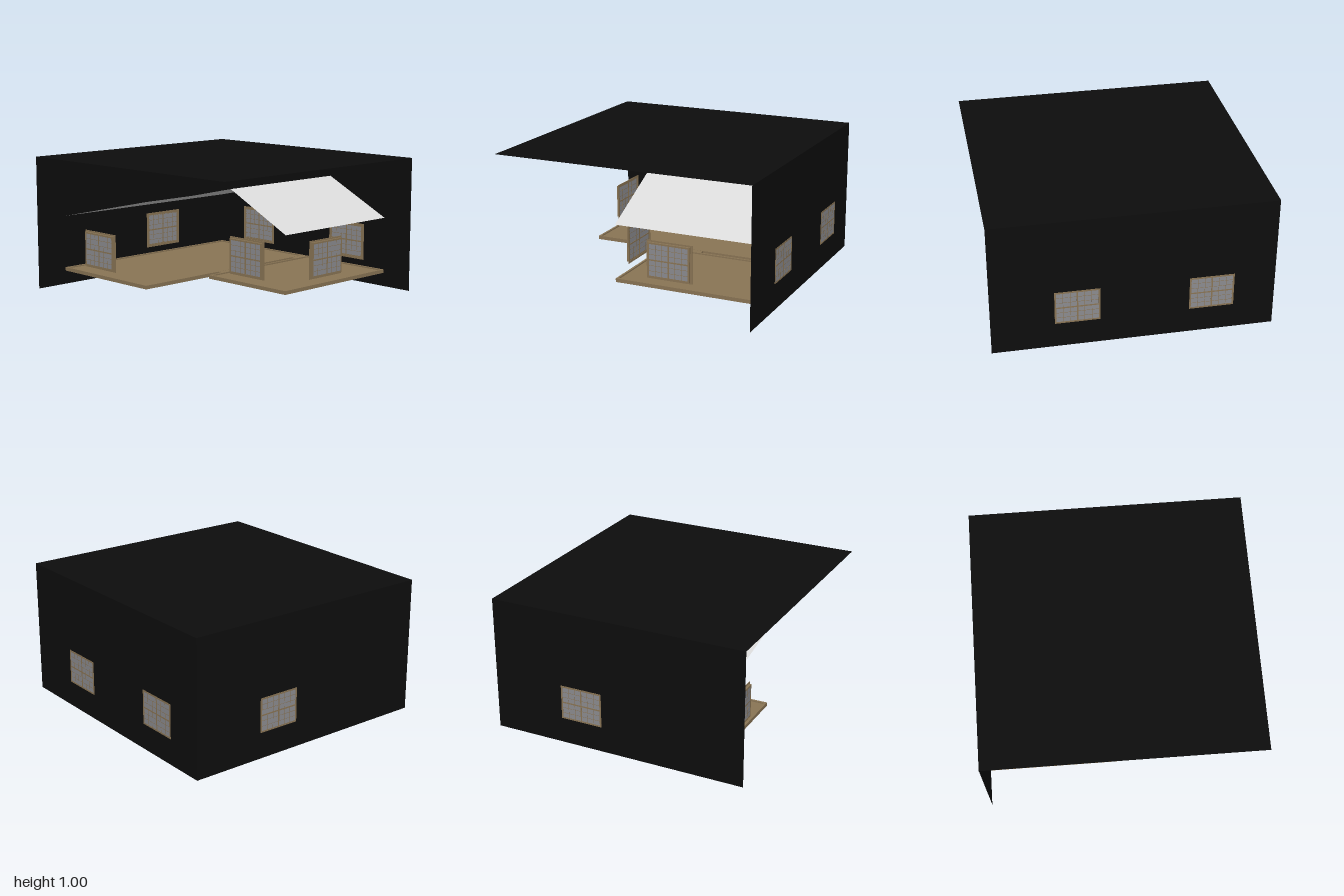
import * as THREE from 'three';

const shellBlack = new THREE.MeshStandardMaterial({ color: 0x0d0d0d, side: THREE.DoubleSide });
shellBlack.name = 'shell black';
const roofWhite = new THREE.MeshStandardMaterial({ color: 0xdadada, side: THREE.DoubleSide });
roofWhite.name = 'roof white';
const wood = new THREE.MeshStandardMaterial({ color: 0x8a7555 });
wood.name = 'wood';
const glassGrey = new THREE.MeshStandardMaterial({ color: 0x8c8c90 });
glassGrey.name = 'glass grey';

// Box given by its limits on each axis
function box(parent, name, mat, [x0, x1], [y0, y1], [z0, z1]) {
  const m = new THREE.Mesh(new THREE.BoxGeometry(x1 - x0, y1 - y0, z1 - z0), mat);
  m.position.set((x0 + x1) / 2, (y0 + y1) / 2, (z0 + z1) / 2);
  m.name = name;
  parent.add(m);
  return m;
}

// Flat four-cornered panel, corners counter-clockwise
function panel(parent, name, mat, a, b, c, d) {
  const g = new THREE.BufferGeometry();
  g.setAttribute('position', new THREE.Float32BufferAttribute([...a, ...b, ...c, ...a, ...c, ...d], 3));
  g.computeVertexNormals();
  const m = new THREE.Mesh(g, mat);
  m.name = name;
  parent.add(m);
}

// Four bars around a rectangle w by h
function frame(parent, name, w, h, t, z) {
  for (const s of [-1, 1]) {
    const x = s * (w - t) / 2, y = s * (h - t) / 2;
    box(parent, name, wood, [x - t / 2, x + t / 2], [-h / 2, h / 2], z);
    box(parent, name, wood, [-w / 2 + t, w / 2 - t], [y - t / 2, y + t / 2], z);
  }
}

// Window facing local +z, its inner face at z = 0
function makeWindow(name, x, z, turn) {
  const g = new THREE.Group();
  g.name = name;
  frame(g, 'windowTrim', 0.345, 0.278, 0.016, [-0.001, 0.004]);
  frame(g, 'windowSash', 0.318, 0.254, 0.012, [0.002, 0.02]);
  box(g, 'glass', glassGrey, [-0.15, 0.15], [-0.12, 0.12], [0.002, 0.0188]);
  // centre bars are thick, the others thin
  for (let i = -2; i <= 2; i++) {
    const t = i ? 0.0015 : 0.005;
    const depth = i ? [0.001, 0.0195] : [0, 0.02];
    box(g, 'glazingBar', wood, [i * 0.05 - t, i * 0.05 + t], [-0.12, 0.12], depth);
    box(g, 'glazingBar', wood, [-0.15, 0.15], [i * 0.04 - t, i * 0.04 + t], depth);
  }
  g.position.set(x, 0.318, z);
  g.rotation.y = turn;
  return g;
}

// Floor slab with a low raised rim
function makeFloor(name, [x0, x1], [z0, z1]) {
  const g = new THREE.Group();
  g.name = name;
  const y = [0.107, 0.134], t = 0.016;
  box(g, 'floorBoard', wood, [x0 + t, x1 - t], [0.107, 0.124], [z0 + t, z1 - t]);
  for (const x of [x0, x1 - t]) box(g, 'floorRim', wood, [x, x + t], y, [z0, z1]);
  for (const z of [z0, z1 - t]) box(g, 'floorRim', wood, [x0 + t, x1 - t], y, [z, z + t]);
  return g;
}

export function createModel() {
  const house = new THREE.Group();
  house.name = 'house';

  // Open black shell: top, back and left-hand walls
  const X = 0.9985, Z = 0.9645;
  panel(house, 'shellTop', shellBlack, [-1, 1, Z], [1, 1, Z], [1, 1, -Z], [-1, 1, -Z]);
  panel(house, 'shellBack', shellBlack, [1, 0, -Z], [-X, 0, -Z], [-X, 1, -Z], [1, 1, -Z]);
  panel(house, 'shellSide', shellBlack, [-X, 0, -Z], [-X, 0, Z], [-X, 1, Z], [-X, 1, -Z]);

  // Floors of the two rooms, joined either side of a gap
  house.add(makeFloor('longRoomFloor', [-0.98, -0.04], [-0.945, 0.727]));
  house.add(makeFloor('shortRoomFloor', [0, 0.772], [-0.945, 0.148]));
  for (const z of [[-0.945, -0.8], [-0.16, 0.02]]) {
    box(house, 'floorJoin', wood, [-0.04, 0], [0.107, 0.133], z);
  }

  // Thin sloping roof with an off-centre ridge
  const ridge = 0.23, eave = 0.53, top = 0.8, back = -0.945, mid = 0.148, front = 0.727;
  const cut = -0.03, cutY = 0.738;
  panel(house, 'roofFrontLeft', roofWhite, [-0.98, eave, front], [cut, cutY, front], [cut, cutY, mid], [-0.98, eave, mid]);
  panel(house, 'roofLeft', roofWhite, [-0.98, eave, mid], [ridge, top, mid], [ridge, top, back], [-0.98, eave, back]);
  panel(house, 'roofRight', roofWhite, [ridge, top, mid], [0.772, eave, mid], [0.772, eave, back], [ridge, top, back]);

  // Windows on every side
  house.add(
    makeWindow('frontWindowLong', -0.547, 0.727, 0),
    makeWindow('frontWindowShort', 0.398, 0.148, 0),
    makeWindow('backWindowLong', -0.547, -0.947, Math.PI),
    makeWindow('backWindowShort', 0.398, -0.947, Math.PI),
    makeWindow('leftHandWindow', 0.772, -0.272, Math.PI / 2),
    makeWindow('rightHandWindow', -0.981, -0.272, -Math.PI / 2),
  );
  return house;
}
